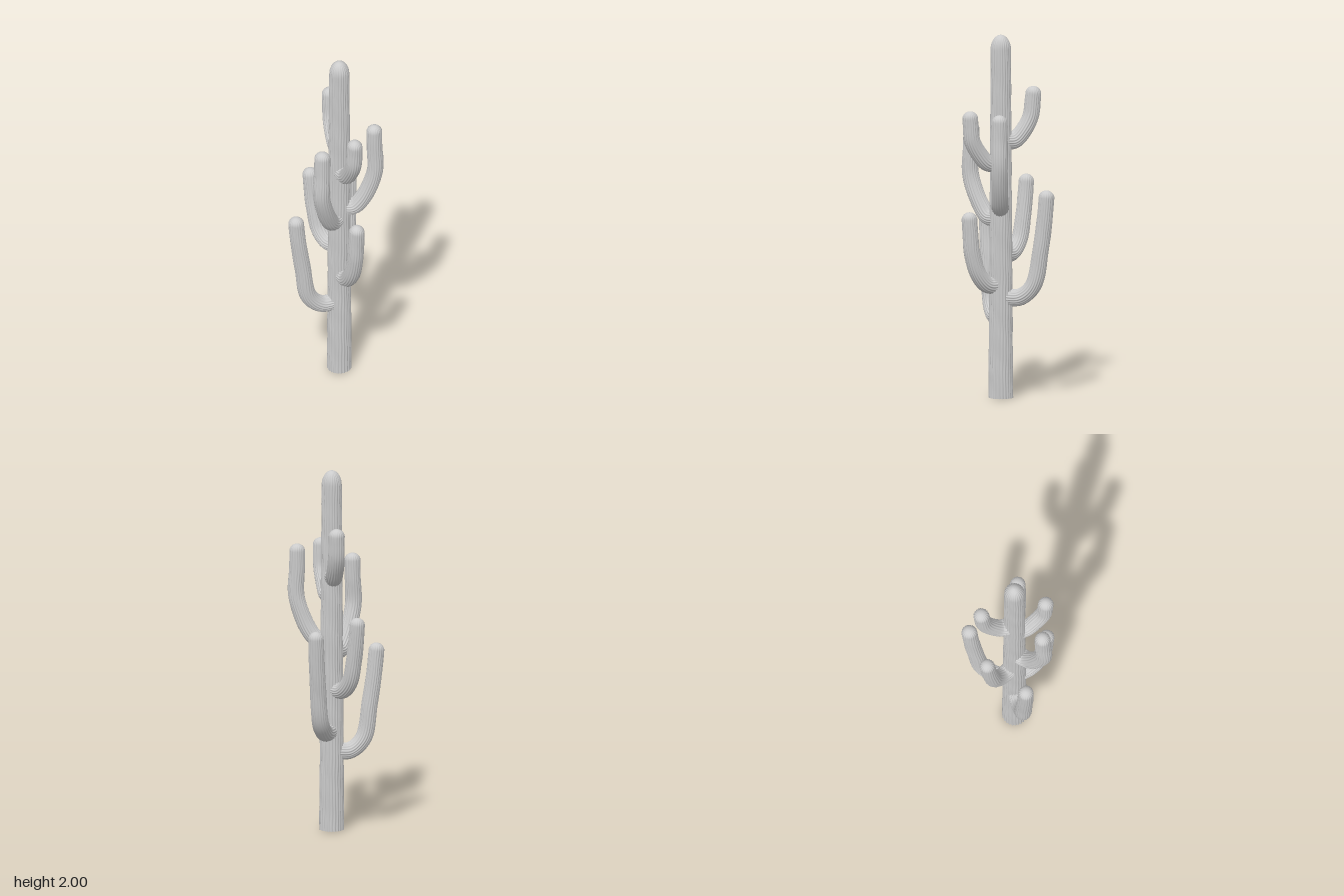
import * as THREE from 'three';

const CENTER_X = 0.035; // trunk axis
const material = new THREE.MeshStandardMaterial({ color: 0xcccccc });

// Sweeps a pleated, round-tipped stem along a curve lying in the plane normal to `side`.
function ribbedStem(curve, side, { ribs, rows, baseRadius, tipRadius, domeHeight, depth, seed }) {
  const segs = ribs * 4;
  const length = curve.getLength();
  const domeStart = 1 - domeHeight / length;

  // Rows: closed flat base (doubled ring keeps its edge sharp), body, then dome.
  const rings = [{ u: 0, r: 0, d: 0 }, { u: 0, r: baseRadius, d: depth }];
  for (let i = 0; i <= rows; i++) {
    const t = i / rows;
    rings.push({ u: t * domeStart, r: THREE.MathUtils.lerp(baseRadius, tipRadius, t), d: depth });
  }
  for (let i = 1; i <= 9; i++) {
    const a = (i / 9) * Math.PI / 2;
    rings.push({
      u: Math.min(1, domeStart + (1 - domeStart) * Math.sin(a)),
      r: tipRadius * Math.cos(a),
      d: depth * Math.cos(a),
    });
  }

  const positions = [], index = [];
  const out = new THREE.Vector3(), p = new THREE.Vector3();
  rings.forEach(({ u, r, d }, i) => {
    const center = curve.getPointAt(u);
    out.crossVectors(side, curve.getTangentAt(u)).normalize();
    for (let j = 0; j < segs; j++) {
      const a = (j / segs) * Math.PI * 2;
      // Rounded ribs with narrow grooves, drifting a little along the stem
      const y = u * length;
      const drift = 0.25 * Math.sin(y * 17 + seed + 2 * a) + 0.15 * Math.sin(y * 41 + seed * 3 + 3 * a);
      const rib = Math.abs(Math.sin(ribs * a / 2 + drift));
      const bump = 0.012 * Math.sin(y * 29 + seed * 2 + 2 * a);
      const rr = r * (1 - d + 1.4 * d * rib + bump);
      p.copy(center).addScaledVector(out, rr * Math.cos(a)).addScaledVector(side, rr * Math.sin(a));
      positions.push(p.x, p.y, p.z);
      if (i < rings.length - 1) {
        const k = (j + 1) % segs;
        const a0 = i * segs + j, b0 = i * segs + k;
        index.push(a0, b0, a0 + segs, b0, b0 + segs, a0 + segs);
      }
    }
  });

  const geometry = new THREE.BufferGeometry();
  geometry.setAttribute('position', new THREE.Float32BufferAttribute(positions, 3));
  geometry.setIndex(index);
  geometry.computeVertexNormals();
  return new THREE.Mesh(geometry, material);
}

// Arms: tip x and z, height of the joint, height of the tip,
// mid = share of the reach already gained at 45% of the rise
const ARMS = [
  { name: 'lowerRightArm', x: -0.212, z: -0.05, joint: 0.43, top: 1.03, mid: 0.84, r: 0.046 },
  { name: 'upperRightArm', x: -0.125, z: 0.092, joint: 0.985, top: 1.51, mid: 1.04, r: 0.047 },
  { name: 'upperLeftArm', x: 0.197, z: 0.1, joint: 1.05, top: 1.585, mid: 1.02, r: 0.046 },
  { name: 'lowerBackLeftArm', x: 0.208, z: -0.192, joint: 0.55, top: 1.15, mid: 0.86, r: 0.046 },
  { name: 'backRightArm', x: -0.035, z: -0.202, joint: 0.78, top: 1.21, mid: 0.86, r: 0.045 },
  { name: 'upperBackArm', x: 0.08, z: -0.182, joint: 1.41, top: 1.71, mid: 0.9, r: 0.047 },
  { name: 'upperFrontArm', x: 0.024, z: 0.188, joint: 1.29, top: 1.59, mid: 0.92, r: 0.046 },
  { name: 'lowerFrontArm', x: 0.032, z: 0.197, joint: 0.62, top: 1.035, mid: 0.9, r: 0.046 },
];

function createArm({ name, x, z, joint, top, mid, r }, i) {
  const reach = Math.hypot(x - CENTER_X, z);
  const dx = (x - CENTER_X) / reach, dz = z / reach;
  const rise = top - joint;
  // Path out of the trunk, round the elbow and up
  const path = [
    [0.02, joint + 0.005],
    [0.42 * reach, joint + 0.008],
    [0.7 * reach, joint + 0.05 + 0.04 * rise],
    [mid * reach, joint + 0.45 * rise],
    [(0.35 * mid + 0.65) * reach, joint + 0.75 * rise],
    [reach, top],
  ].map(([d, y]) => new THREE.Vector3(CENTER_X + dx * d, y, dz * d));
  const arm = ribbedStem(
    new THREE.CatmullRomCurve3(path),
    new THREE.Vector3(-dz, 0, dx),
    { ribs: 20, rows: 44, baseRadius: r, tipRadius: r * 0.9, domeHeight: 0.04, depth: 0.08, seed: i * 1.7 + 1 },
  );
  arm.name = name;
  return arm;
}

export function createModel() {
  const group = new THREE.Group();
  group.name = 'cactus';

  // Trunk
  const axis = new THREE.LineCurve3(new THREE.Vector3(CENTER_X, 0, 0), new THREE.Vector3(CENTER_X, 2, 0));
  const trunk = ribbedStem(axis, new THREE.Vector3(0, 0, 1), {
    ribs: 24, rows: 90, baseRadius: 0.066, tipRadius: 0.054, domeHeight: 0.08, depth: 0.08, seed: 0,
  });
  trunk.name = 'trunk';
  group.add(trunk);

  ARMS.forEach((arm, i) => group.add(createArm(arm, i)));
  return group;
}
